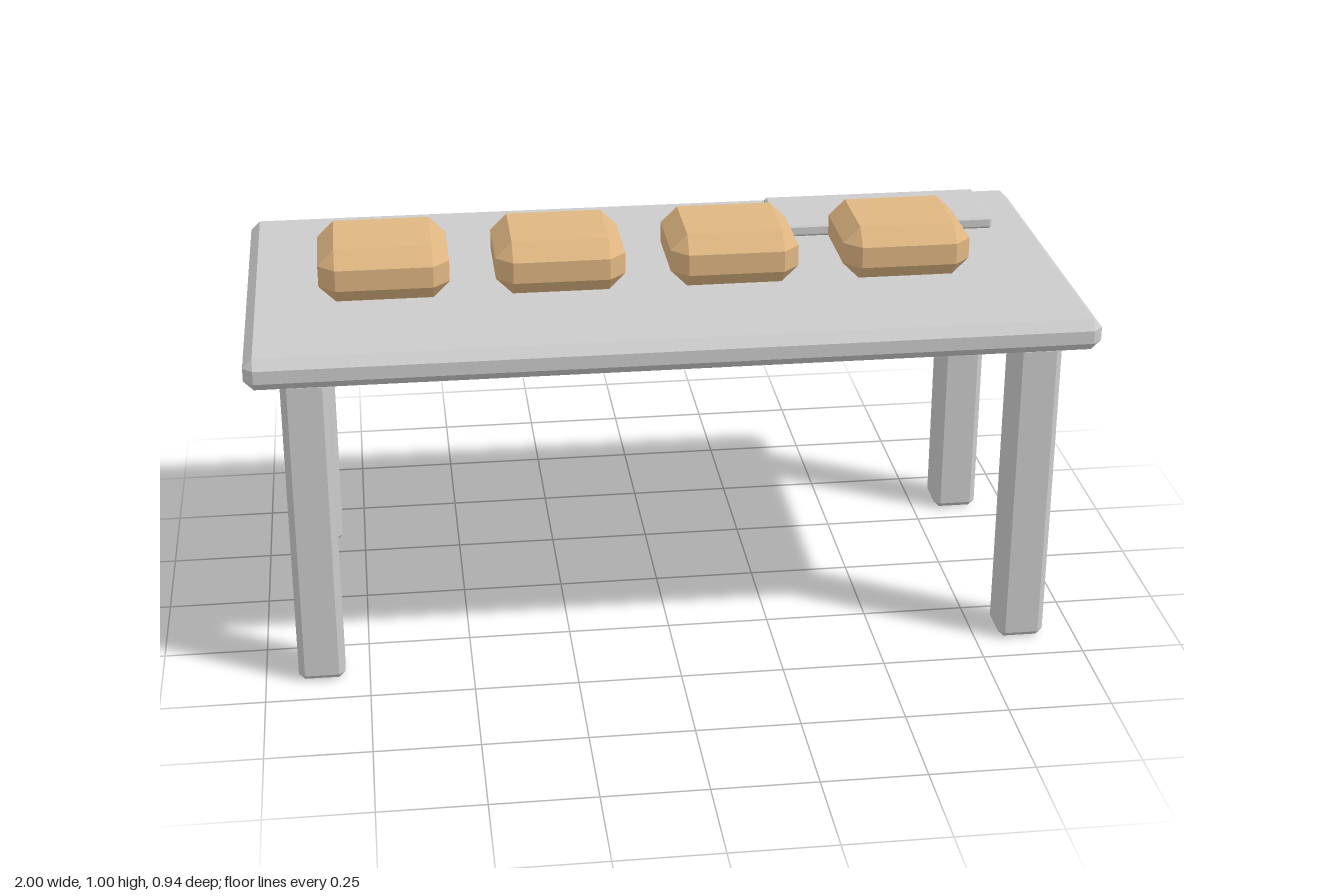
import * as THREE from 'three';
import { ConvexGeometry } from 'three/addons/geometries/ConvexGeometry.js';

// Box with every edge cut by a single flat chamfer, centred on the origin
function chamferBox(w, h, d, c) {
  const points = [];
  for (const sx of [-1, 1]) for (const sy of [-1, 1]) for (const sz of [-1, 1]) {
    for (let axis = 0; axis < 3; axis++) {
      const half = [w / 2, h / 2, d / 2].map((v, i) => (i === axis ? v : v - c));
      points.push(new THREE.Vector3(sx * half[0], sy * half[1], sz * half[2]));
    }
  }
  return new ConvexGeometry(points);
}

export function createModel() {
  const model = new THREE.Group();
  model.name = 'servingTable';
  const grey = new THREE.MeshStandardMaterial({ color: 0xcccccc, flatShading: true });
  const crust = new THREE.MeshStandardMaterial({ color: 0xe0b682, flatShading: true });

  const add = (name, geometry, material, x, y, z) => {
    const mesh = new THREE.Mesh(geometry, material);
    mesh.name = name;
    mesh.position.set(x, y, z);
    model.add(mesh);
  };

  // Tabletop
  add('tabletop', chamferBox(2, 0.078, 0.944, 0.023), grey, 0, 0.83, 0);

  // Four square legs
  const leg = chamferBox(0.112, 0.791, 0.112, 0.015);
  for (const x of [-0.865, 0.865]) for (const z of [-0.361, 0.361]) {
    add((z > 0 ? 'front' : 'back') + (x > 0 ? 'Left' : 'Right') + 'Leg', leg, grey, x, 0.3955, z);
  }

  // Row of loaves
  const loaf = chamferBox(0.312, 0.132, 0.277, 0.04);
  for (let i = 0; i < 4; i++) add('loaf' + (i + 1), loaf, crust, -0.669 + i * 0.422, 0.935, 0.028);

  // Flat slab at the back left
  add('slab', chamferBox(0.556, 0.031, 0.22, 0.006), grey, 0.608, 0.8845, -0.278);

  return model;
}
